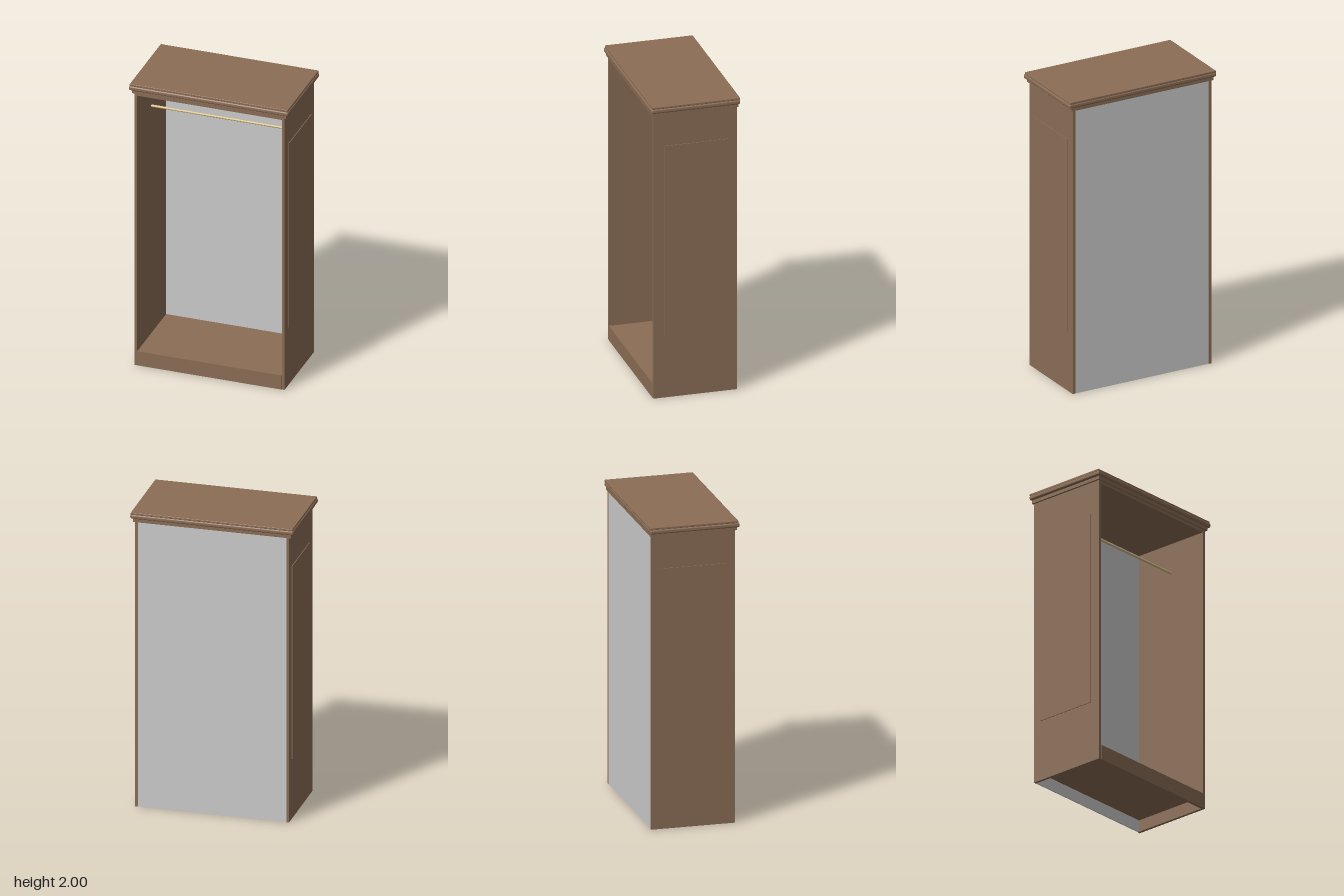
import * as THREE from 'three';
import { RoundedBoxGeometry } from 'three/addons/geometries/RoundedBoxGeometry.js';

const wood = new THREE.MeshStandardMaterial({ color: 0x8b6d55 });
const brass = new THREE.MeshStandardMaterial({ color: 0xd2bb85 });
const grey = new THREE.MeshStandardMaterial({ color: 0xcccccc });

// Box given by its limits on each axis; an optional radius rounds the edges
function slab(name, [x0, x1], [y0, y1], [z0, z1], material = wood, radius = 0) {
  const size = [x1 - x0, y1 - y0, z1 - z0];
  const geometry = radius
    ? new RoundedBoxGeometry(...size, 4, radius)
    : new THREE.BoxGeometry(...size);
  const mesh = new THREE.Mesh(geometry, material);
  mesh.name = name;
  mesh.position.set((x0 + x1) / 2, (y0 + y1) / 2, (z0 + z1) / 2);
  return mesh;
}

export function createModel() {
  const wardrobe = new THREE.Group();
  wardrobe.name = 'wardrobe';

  // Side walls, each with a slightly raised outer panel
  for (const [label, s] of [['left', 1], ['right', -1]]) {
    const span = (a, b) => [Math.min(a * s, b * s), Math.max(a * s, b * s)];
    wardrobe.add(
      slab(label + 'Side', span(0.485, 0.503), [0, 1.937], [-0.28, 0.27]),
      slab(label + 'RaisedPanel', span(0.5, 0.508), [0.41, 1.72], [-0.22, 0.2]),
    );
  }

  // Carcass boards between the sides
  const inner = [-0.485, 0.485];
  wardrobe.add(
    slab('backPanel', inner, [0, 1.935], [-0.278, -0.27], grey),
    slab('floorBoard', inner, [0.08, 0.097], [-0.27, 0.255]),
    slab('plinth', inner, [0, 0.1], [0.253, 0.272]),
    slab('topBoard', inner, [1.916, 1.936], [-0.27, 0.268]),
  );

  // Stepped cornice: lower step, rounded middle moulding, top board
  wardrobe.add(
    slab('corniceLower', [-0.516, 0.516], [1.935, 1.96], [-0.285, 0.28]),
    slab('corniceMoulding', [-0.534, 0.534], [1.957, 1.986], [-0.293, 0.292], wood, 0.01),
    slab('corniceTop', [-0.529, 0.529], [1.985, 2], [-0.293, 0.285], wood, 0.003),
  );

  // Hanging rail
  const rail = new THREE.Mesh(new THREE.CylinderGeometry(0.008, 0.008, 0.97, 20), brass);
  rail.name = 'hangingRail';
  rail.rotation.z = Math.PI / 2;
  rail.position.set(0, 1.713, 0);
  wardrobe.add(rail);

  return wardrobe;
}
